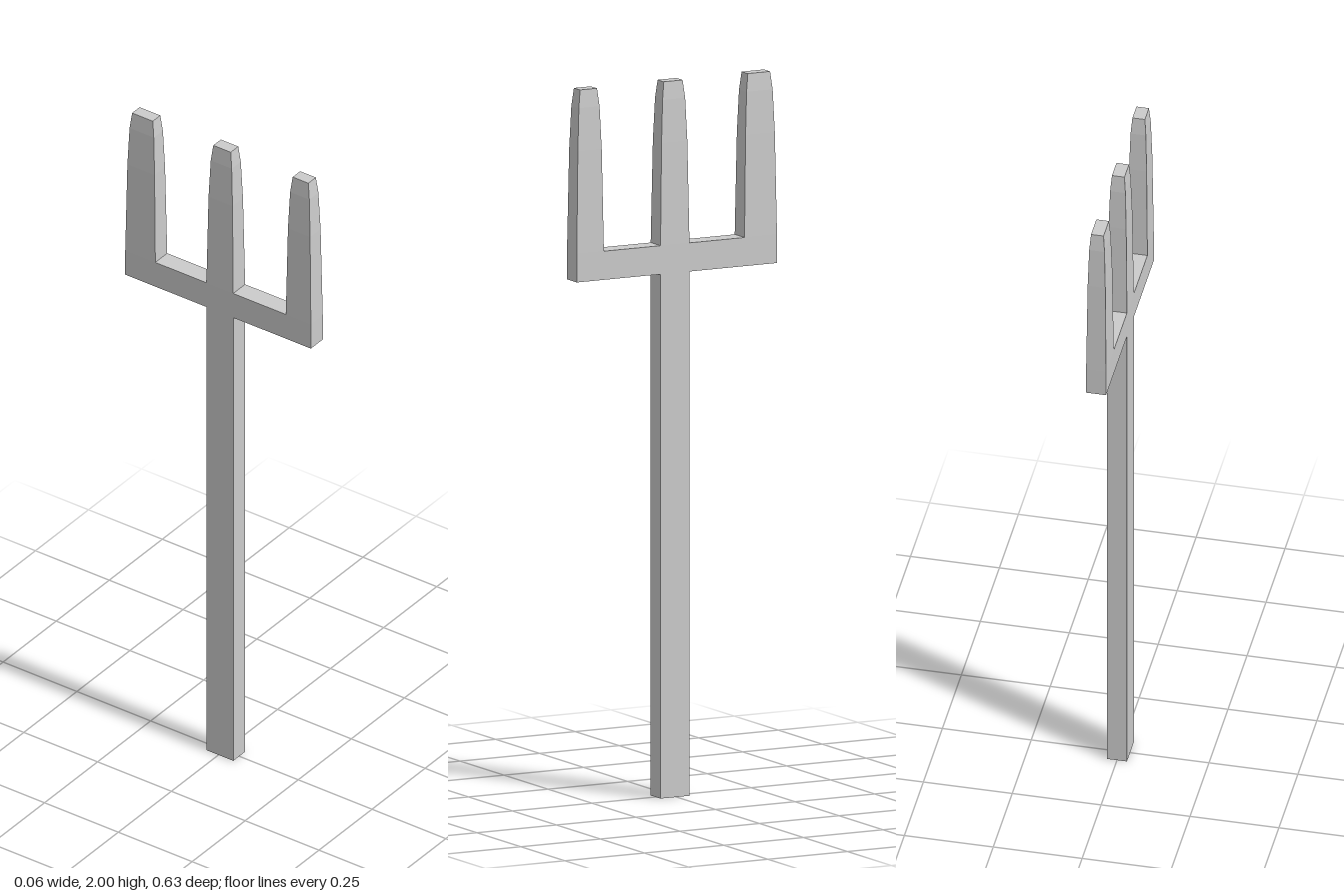
import * as THREE from 'three';

const HALF = 0.028; // half thickness along x
const BAR_BOTTOM = 1.465, BAR_TOP = 1.545;
const SHAFT = [-0.041, 0.05];

// Tine rings from bottom to top: [height, inset]
const RINGS = [[BAR_TOP, 0], [1.83, 0.005], [1.95, 0.01], [2, 0.016]];

// Tapered four-sided tine between two z positions
function tineGeometry(z0, z1) {
  const segments = RINGS.length - 1;
  const depth = z1 - z0;
  const geo = new THREE.BoxGeometry(2 * HALF, segments, depth, 1, segments, 1);
  const pos = geo.attributes.position;
  for (let i = 0; i < pos.count; i++) {
    const [y, inset] = RINGS[Math.round(pos.getY(i) + segments / 2)];
    const x = Math.sign(pos.getX(i)) * (HALF - inset * 0.65);
    const z = (z0 + z1) / 2 + Math.sign(pos.getZ(i)) * (depth / 2 - inset);
    pos.setXYZ(i, x, y, z);
  }
  geo.computeVertexNormals();
  return geo;
}

export function createModel() {
  const group = new THREE.Group();
  const material = new THREE.MeshStandardMaterial({ color: 0xcccccc, flatShading: true });
  const add = (name, geo) => {
    const mesh = new THREE.Mesh(geo, material);
    mesh.name = name;
    group.add(mesh);
  };

  // Shaft and crossbar as one T-shaped profile, drawn in (z, y)
  const [back, front] = [-0.316, 0.313];
  const profile = new THREE.Shape([
    [SHAFT[0], 0], [SHAFT[1], 0], [SHAFT[1], BAR_BOTTOM], [front, BAR_BOTTOM],
    [front, BAR_TOP], [back, BAR_TOP], [back, BAR_BOTTOM], [SHAFT[0], BAR_BOTTOM],
  ].map(([z, y]) => new THREE.Vector2(z, y)));
  const body = new THREE.ExtrudeGeometry(profile, { depth: 2 * HALF, bevelEnabled: false });
  body.translate(0, 0, -HALF).rotateY(-Math.PI / 2);
  add('shaftAndCrossbar', body);

  // Three tines
  add('backTine', tineGeometry(back, -0.214));
  add('middleTine', tineGeometry(...SHAFT));
  add('frontTine', tineGeometry(0.228, front));

  return group;
}
